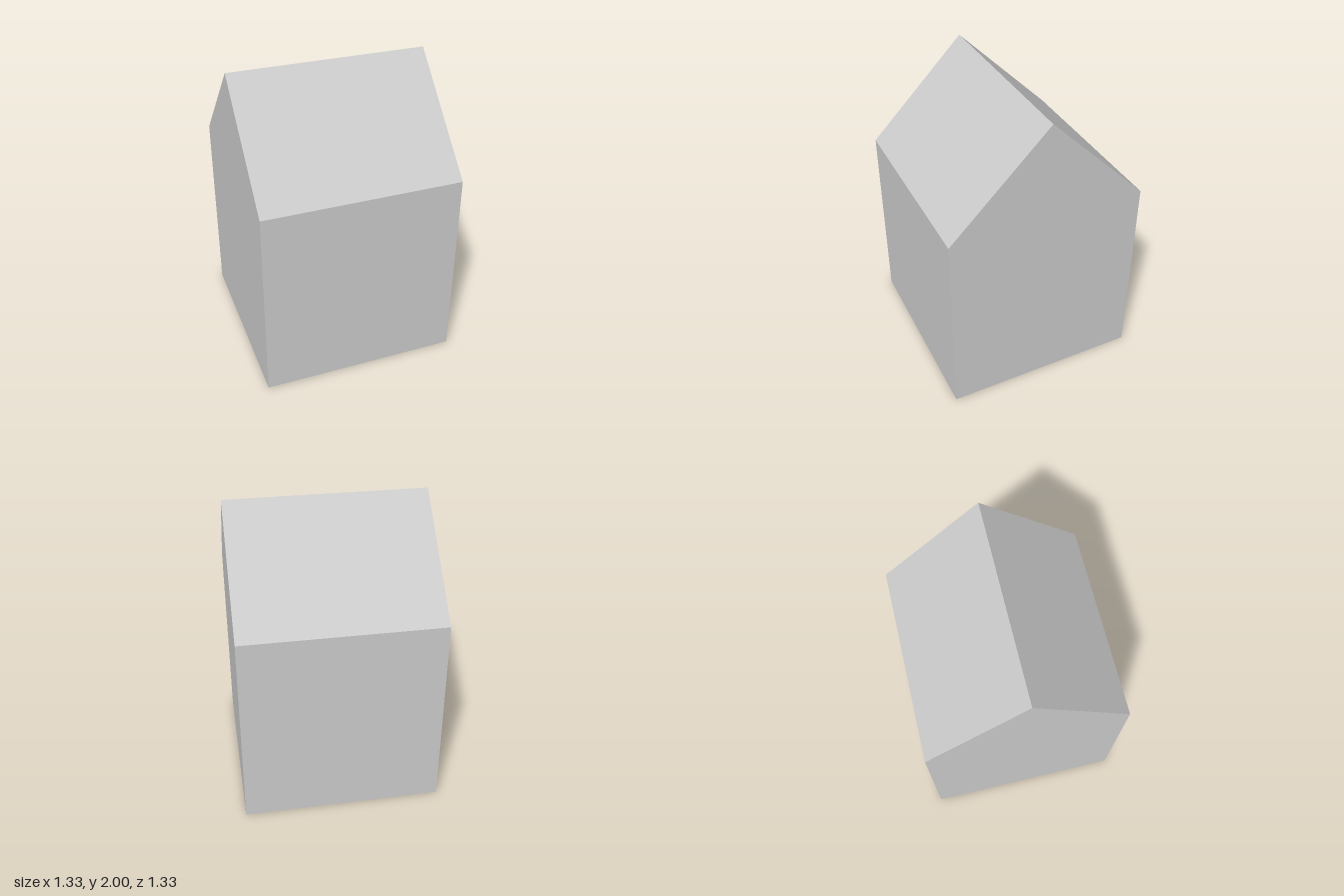
import * as THREE from 'three';

const HALF = 2 / 3; // half the width and depth
const EAVES = 4 / 3;
const RIDGE = 2;

export function createModel() {
  const model = new THREE.Group();
  model.name = 'house';

  // Gabled side profile: square walls with a pitched roof
  const gable = new THREE.Shape([
    new THREE.Vector2(-HALF, 0),
    new THREE.Vector2(HALF, 0),
    new THREE.Vector2(HALF, EAVES),
    new THREE.Vector2(0, RIDGE),
    new THREE.Vector2(-HALF, EAVES),
  ]);

  // Extruded along x so the ridge runs left to right
  const geometry = new THREE.ExtrudeGeometry(gable, { depth: 2 * HALF, bevelEnabled: false });
  geometry.translate(0, 0, -HALF);
  geometry.rotateY(Math.PI / 2);

  const material = new THREE.MeshStandardMaterial({ color: 0xcccccc, flatShading: true });
  const body = new THREE.Mesh(geometry, material);
  body.name = 'gabledBody';
  model.add(body);

  return model;
}
